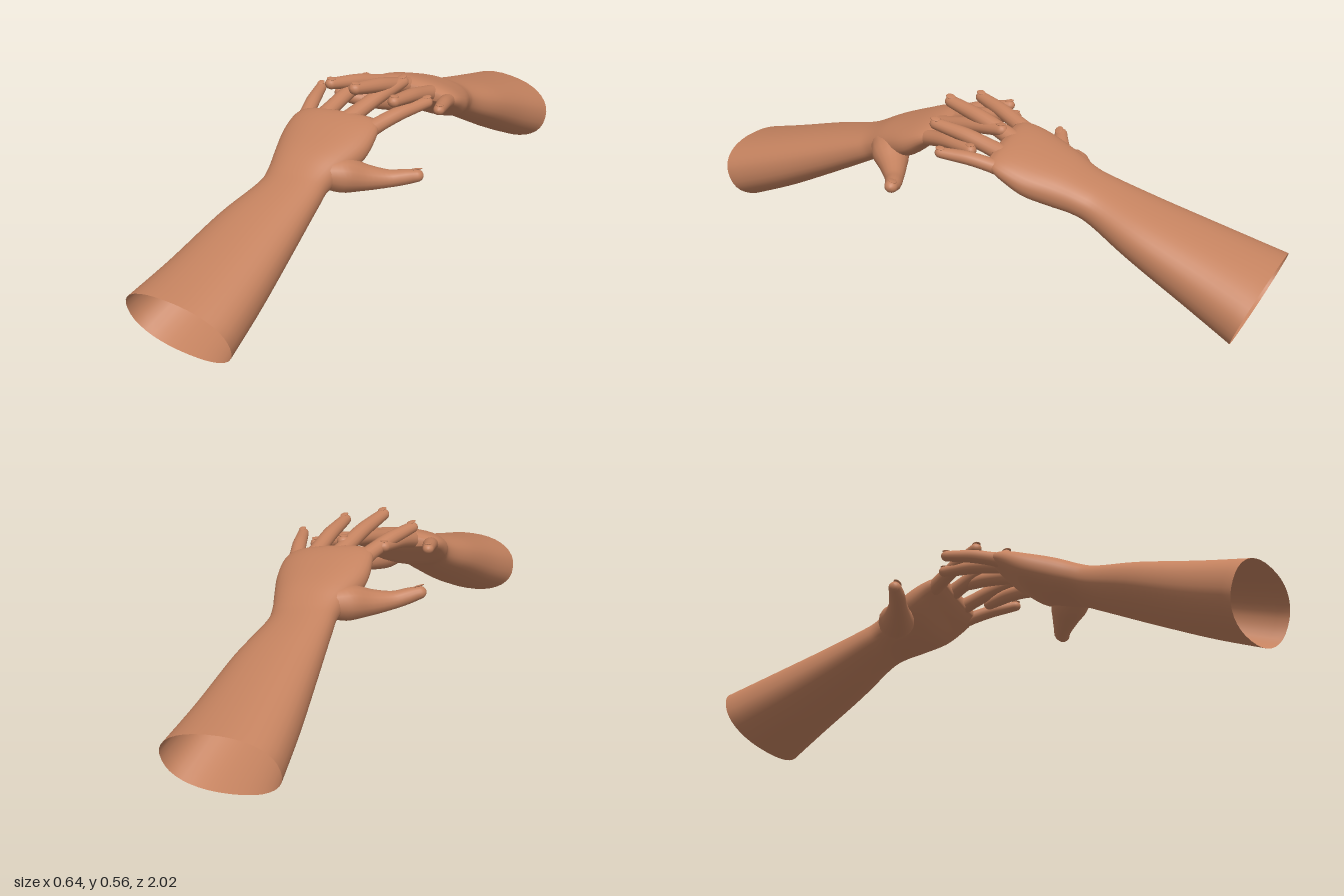
import * as THREE from 'three';

const V = (x, y, z) => new THREE.Vector3(x, y, z);

// Smooth skin through closed rings of points, with an optional closed end
function loft(rings, closeEnd) {
  const n = rings[0].length, pos = [], index = [];
  rings.forEach(r => r.forEach(p => pos.push(p.x, p.y, p.z)));
  for (let i = 0; i < rings.length - 1; i++) {
    for (let j = 0; j < n; j++) {
      const k = (j + 1) % n, a = i * n + j, b = i * n + k;
      index.push(a, b, b + n, a, b + n, a + n);
    }
  }
  if (closeEnd) {
    const last = rings[rings.length - 1], c = V(0, 0, 0);
    last.forEach(p => c.addScaledVector(p, 1 / n));
    pos.push(c.x, c.y, c.z);
    const base = (rings.length - 1) * n;
    for (let j = 0; j < n; j++) index.push(base + j, base + (j + 1) % n, rings.length * n);
  }
  const g = new THREE.BufferGeometry();
  g.setAttribute('position', new THREE.Float32BufferAttribute(pos, 3));
  g.setIndex(index);
  g.computeVertexNormals();
  return g;
}

// Forearm, wrist and palm: centre (x, y, z), half width, half height, tilt
const ARM = [
  [-0.134, 0.105, 0.96, 0.184, 0.112, 0.36],
  [-0.111, 0.165, 0.8, 0.16, 0.098, 0.36],
  [-0.088, 0.246, 0.6, 0.132, 0.076, 0.36],
  [-0.063, 0.303, 0.46, 0.105, 0.059, 0.38],
  [-0.06, 0.329, 0.4, 0.104, 0.056, 0.38],
  [-0.055, 0.357, 0.33, 0.124, 0.062, 0.32],
  [-0.05, 0.388, 0.25, 0.147, 0.06, 0.28],
  [-0.048, 0.42, 0.19, 0.149, 0.047, 0.25],
  [-0.046, 0.438, 0.15, 0.14, 0.034, 0.22],
  [-0.045, 0.446, 0.125, 0.12, 0.016, 0.2],
];

function armGeometry() {
  const centres = new THREE.CatmullRomCurve3(ARM.map(s => V(s[0], s[1], s[2])), false, 'catmullrom');
  const sizes = new THREE.CatmullRomCurve3(ARM.map(s => V(s[3], s[4], s[5])), false, 'catmullrom');
  const rings = [], steps = 45, sides = 36;
  const soft = v => Math.sign(v) * Math.pow(Math.abs(v), 0.88);
  for (let i = 0; i <= steps; i++) {
    const c = centres.getPoint(i / steps), s = sizes.getPoint(i / steps);
    const skew = 0.16 * Math.max(0, (c.z - 0.6) / 0.36);
    const ring = [];
    for (let j = 0; j < sides; j++) {
      const a = j / sides * Math.PI * 2;
      const dx = -s.x * soft(Math.cos(a)), dy = s.y * soft(Math.sin(a));
      ring.push(V(c.x + dx, c.y + dy * Math.cos(s.z), c.z + dy * Math.sin(s.z) + skew * dx));
    }
    rings.push(ring);
  }
  return loft(rings, true);
}

// Tapered finger along a path of [x, y, z, radius], with a domed tip
function addFinger(group, name, path, material, up = V(0, 1, 0)) {
  const curve = new THREE.CatmullRomCurve3(path.map(p => V(p[0], p[1], p[2])), false, 'catmullrom');
  const radii = new THREE.CatmullRomCurve3(path.map((p, i) => V(i, p[3], 0)), false, 'catmullrom');
  const frame = t => {
    const d = curve.getTangent(t).normalize();
    const side = up.clone().cross(d).normalize();
    return { d, side, top: d.clone().cross(side) };
  };
  const rings = [];
  const addRing = (c, r, f) => {
    const ring = [];
    for (let j = 0; j < 16; j++) {
      const a = j / 16 * Math.PI * 2;
      ring.push(c.clone().addScaledVector(f.side, r * Math.cos(a))
        .addScaledVector(f.top, r * 0.92 * Math.sin(a)));
    }
    rings.push(ring);
  };
  for (let i = 0; i <= 20; i++) addRing(curve.getPoint(i / 20), radii.getPoint(i / 20).y, frame(i / 20));
  const end = curve.getPoint(1), r = path[path.length - 1][3], f = frame(1);
  for (let i = 1; i <= 5; i++) {
    const a = i / 5.3 * Math.PI / 2;
    addRing(end.clone().addScaledVector(f.d, r * Math.sin(a)), r * Math.cos(a), f);
  }
  const finger = new THREE.Mesh(loft(rings, true), material);
  finger.name = name;
  group.add(finger);

  // Fingernail
  const nail = new THREE.Mesh(new THREE.SphereGeometry(1, 14, 8), material);
  nail.name = name + 'Nail';
  nail.scale.set(r * 0.66, 0.003, r * 0.85);
  nail.quaternion.setFromRotationMatrix(new THREE.Matrix4().makeBasis(f.side, f.top, f.d));
  nail.position.copy(end).addScaledVector(f.top, r * 0.9).addScaledVector(f.d, r * 0.1);
  group.add(nail);
}

// Straight finger with a slight arch and a fuller middle joint
function fingerPath(b, t, r) {
  const at = (k, lift, rad) => [
    b[0] + (t[0] - b[0]) * k, b[1] + (t[1] - b[1]) * k + lift, b[2] + (t[2] - b[2]) * k, rad];
  return [at(0, 0, r * 1.4), at(0.25, 0.005, r * 1.2), at(0.55, 0.008, r * 1.14),
    at(0.8, 0.004, r * 1.02), at(1, 0, r * 0.9)];
}

function buildHand(name, material) {
  const hand = new THREE.Group();
  hand.name = name;
  const arm = new THREE.Mesh(armGeometry(), material);
  arm.name = 'forearmAndPalm';
  hand.add(arm);
  const fingers = [
    ['littleFinger', [-0.155, 0.422, 0.185], [-0.191, 0.474, -0.015], 0.02],
    ['ringFinger', [-0.102, 0.437, 0.17], [-0.066, 0.494, -0.09], 0.022],
    ['middleFinger', [-0.02, 0.439, 0.17], [0.065, 0.502, -0.098], 0.023],
    ['indexFinger', [0.058, 0.424, 0.18], [0.174, 0.467, -0.042], 0.022],
  ];
  fingers.forEach(([n, b, t, r]) => addFinger(hand, n, fingerPath(b, t, r), material));
  addFinger(hand, 'thumb', [
    [-0.01, 0.352, 0.37, 0.045], [0.045, 0.335, 0.315, 0.062], [0.105, 0.318, 0.272, 0.045],
    [0.165, 0.311, 0.236, 0.031], [0.21, 0.316, 0.214, 0.027], [0.244, 0.322, 0.203, 0.022],
  ], material, V(0.1, 0.9, -0.3));
  return hand;
}

export function createModel() {
  const skin = new THREE.MeshStandardMaterial({ color: 0xc4825f, side: THREE.DoubleSide });
  skin.name = 'skin';
  const model = new THREE.Group();
  model.name = 'touchingHands';
  model.add(buildHand('frontHand', skin));

  // Opposite hand, turned around and rolled slightly
  const back = buildHand('backHand', skin);
  back.rotation.y = Math.PI;
  const pose = new THREE.Group();
  pose.name = 'backHandPose';
  pose.add(back);
  pose.rotation.set(0.035, 0, -0.14);
  pose.position.set(-0.012, 0.033, -0.005);
  model.add(pose);
  return model;
}
